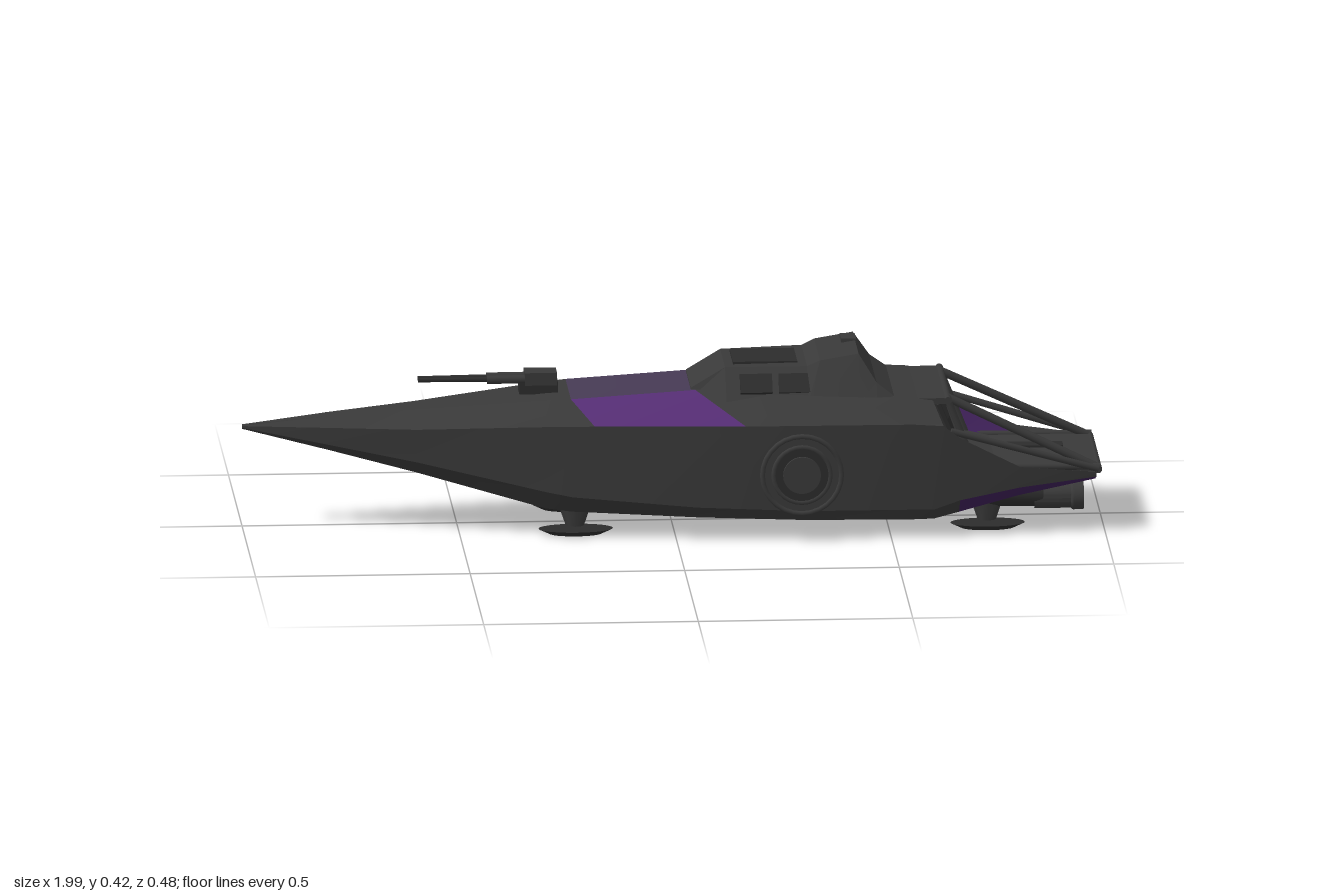
import * as THREE from 'three';
import { toCreasedNormals } from 'three/addons/utils/BufferGeometryUtils.js';

const mat = (name, color) => {
  const m = new THREE.MeshStandardMaterial({ color });
  m.name = name;
  return m;
};

// Skin a list of equal-length closed rings of [x, y, z]; paint(i, j) picks a material index
function loft(rings, paint = () => 0, crease = 0.4) {
  const pos = [], geo = new THREE.BufferGeometry(), n = rings[0].length;
  const face = (m, ...pts) => {
    geo.addGroup(pos.length / 3, pts.length, m);
    pts.forEach(p => pos.push(...p));
  };
  for (let i = 0; i < rings.length - 1; i++) {
    for (let j = 0; j < n; j++) {
      const k = (j + 1) % n, a = rings[i], b = rings[i + 1];
      face(paint(i, j), a[j], a[k], b[j], b[j], a[k], b[k]);
    }
  }
  const first = rings[0], last = rings[rings.length - 1];
  for (let j = 1; j < n - 1; j++) {
    face(0, last[0], last[j], last[j + 1]);
    face(0, first[0], first[j + 1], first[j]);
  }
  geo.setAttribute('position', new THREE.Float32BufferAttribute(pos, 3));
  return toCreasedNormals(geo, crease);
}

// Close a half outline (top to bottom, +z side) by mirroring it
const mirrorRing = half => [...half, ...half.slice().reverse().map(([x, y, z]) => [x, y, -z])];

export function createModel() {
  const model = new THREE.Group();
  const hullGrey = mat('hull grey', 0x393939);
  const darkGrey = mat('dark grey', 0x2c2c2c);
  const purple = mat('purple', 0x552d74);
  const dullPurple = mat('dull purple', 0x463a54);
  const deepPurple = mat('deep purple', 0x3e2058);

  const add = (name, geo, m, x = 0, y = 0, z = 0) => {
    const mesh = new THREE.Mesh(geo, m);
    mesh.name = name;
    mesh.position.set(x, y, z);
    model.add(mesh);
    return mesh;
  };
  const box = (name, m, w, h, d, x, y, z) => add(name, new THREE.BoxGeometry(w, h, d), m, x, y, z);
  const rod = (name, m, a, b, r, r2 = r, sides = 10) => {
    const p = new THREE.Vector3(...a), q = new THREE.Vector3(...b), dir = q.clone().sub(p);
    const mesh = add(name, new THREE.CylinderGeometry(r2, r, dir.length(), sides), m);
    mesh.position.copy(p).add(q).multiplyScalar(0.5);
    mesh.quaternion.setFromUnitVectors(new THREE.Vector3(0, 1, 0), dir.normalize());
    return mesh;
  };

  // Hull stations: x, top y, top half width, shoulder y, w, side y, w, bottom y, w, shoulder x shift
  const stations = [
    [-1, 0.243, 0.002, 0.24, 0.004, 0.236, 0.004, 0.233, 0.002, 0],
    [-0.8, 0.265, 0.02, 0.245, 0.055, 0.203, 0.05, 0.184, 0.02, 0],
    [-0.6, 0.283, 0.04, 0.25, 0.107, 0.17, 0.097, 0.134, 0.045, 0],
    [-0.3, 0.312, 0.09, 0.268, 0.173, 0.11, 0.165, 0.056, 0.1, 0],
    [-0.24, 0.316, 0.1, 0.272, 0.192, 0.1, 0.178, 0.05, 0.112, 0.05],
    [0.05, 0.334, 0.1, 0.276, 0.23, 0.08, 0.215, 0.046, 0.17, 0.11],
    [0.3, 0.33, 0.165, 0.277, 0.236, 0.07, 0.224, 0.043, 0.2, 0],
    [0.55, 0.322, 0.162, 0.277, 0.239, 0.07, 0.225, 0.042, 0.205, 0],
    [0.6, 0.315, 0.16, 0.272, 0.238, 0.07, 0.225, 0.042, 0.2, 0.02],
    [0.66, 0.175, 0.15, 0.24, 0.23, 0.09, 0.222, 0.05, 0.17, 0],
    [0.8, 0.142, 0.155, 0.165, 0.212, 0.115, 0.208, 0.08, 0.14, 0],
    [0.98, 0.138, 0.158, 0.145, 0.188, 0.133, 0.186, 0.115, 0.13, 0],
  ];
  const hullRings = stations.map(([x, ty, tw, sy, sw, ly, lw, by, bw, dx]) =>
    mirrorRing([[x, ty, tw], [x + dx, sy, sw], [x, ly, lw], [x, by, bw]]));
  const hullPaint = (i, j) => {
    const slope = j === 0 || j === 6;
    if (i === 4) return slope ? 1 : j === 7 ? 2 : 0;
    if (i >= 9 && (j === 2 || j === 4)) return 3;
    return i === 9 && slope ? 3 : 0;
  };
  add('hull', loft(hullRings, hullPaint), [hullGrey, purple, dullPurple, deepPurple]);

  // Cabin: x, roof y, roof half width, base half width
  const cabinRings = [
    [0.04, 0.337, 0.09, 0.1], [0.12, 0.385, 0.09, 0.15], [0.31, 0.388, 0.105, 0.165],
    [0.34, 0.402, 0.108, 0.168], [0.43, 0.417, 0.108, 0.17], [0.47, 0.355, 0.14, 0.17],
    [0.51, 0.325, 0.15, 0.17],
  ].map(([x, y, t, b]) => mirrorRing([[x, y, t], [x, 0.315, b]]));
  add('cabin', loft(cabinRings, undefined, 0.2), [hullGrey]);
  box('roofPanel', darkGrey, 0.15, 0.006, 0.13, 0.215, 0.388, 0);
  box('roofHatch', hullGrey, 0.035, 0.015, 0.055, 0.415, 0.414, -0.05);
  for (const s of [1, -1]) {
    for (const x of [0.19, 0.28]) {
      const w = box('cabinWindow', darkGrey, 0.075, 0.05, 0.008, x, 0.353, s * 0.13);
      w.rotation.x = -s * 0.72;
    }
  }

  // Side wheel drum with raised rings
  const drum = (name, m, r, z0, z1) => rod(name, m, [0.29, 0.16, z0], [0.29, 0.16, z1], r, r * 0.95, 28);
  drum('wheelDrum', hullGrey, 0.1, 0.2, 0.238);
  drum('wheelDisc', darkGrey, 0.068, 0.23, 0.241);
  drum('wheelHub', hullGrey, 0.046, 0.23, 0.245);
  for (const r of [0.092, 0.066]) {
    add('wheelRim', new THREE.TorusGeometry(r, 0.006, 8, 28), hullGrey, 0.29, 0.16, 0.237);
  }

  // Nose gun with twin barrels
  box('gunMount', darkGrey, 0.09, 0.03, 0.045, -0.31, 0.325, 0);
  box('gunBody', hullGrey, 0.075, 0.03, 0.055, -0.305, 0.347, 0);
  for (const s of [1, -1]) {
    rod('gunBarrel', darkGrey, [-0.3, 0.345, s * 0.016], [-0.59, 0.345, s * 0.009], 0.007, 0.005);
    rod('gunSleeve', hullGrey, [-0.33, 0.345, s * 0.016], [-0.43, 0.345, s * 0.014], 0.01);
  }

  // Open rear deck
  box('deck', hullGrey, 0.33, 0.014, 0.32, 0.82, 0.147, -0.003);
  box('deckPlate', darkGrey, 0.13, 0.009, 0.04, 0.85, 0.155, -0.04);
  rod('deckRearBar', hullGrey, [0.985, 0.146, -0.17], [0.985, 0.146, 0.17], 0.009);

  // Machinery in the recess behind the cabin
  rod('machineryDrum', darkGrey, [0.61, 0.27, -0.085], [0.61, 0.27, 0.085], 0.035, 0.035, 16);
  const panel = box('rearPanel', darkGrey, 0.009, 0.15, 0.23, 0.645, 0.225, 0);
  panel.rotation.z = 0.4;
  rod('frameTopBar', hullGrey, [0.635, 0.315, -0.165], [0.635, 0.315, 0.165], 0.009);
  box('frameBase', hullGrey, 0.1, 0.014, 0.32, 0.585, 0.313, 0);

  for (const s of [1, -1]) {
    // Rear frame struts
    rod('longStrut', hullGrey, [0.635, 0.315, s * 0.13], [0.98, 0.15, s * 0.157], 0.01);
    rod('lowerStrut', hullGrey, [0.64, 0.25, s * 0.2], [0.985, 0.148, s * 0.17], 0.008);
    rod('uprightStrut', hullGrey, [0.635, 0.315, s * 0.155], [0.7, 0.15, s * 0.155], 0.008);
    rod('braceStrut', hullGrey, [0.64, 0.29, s * 0.08], [0.69, 0.15, s * 0.11], 0.007);
    rod('deckRail', hullGrey, [0.66, 0.155, s * 0.158], [0.99, 0.152, s * 0.163], 0.008);

    // Engines
    const z = -0.007 + s * 0.093;
    rod('engineHousing', darkGrey, [0.66, 0.08, z], [0.86, 0.07, z], 0.035, 0.03, 16);
    const profile = [[0, 0.05], [0.026, 0.05], [0.026, 0.115], [0.033, 0.115], [0.033, 0.09], [0.029, 0.085], [0.029, 0]];
    const nozzle = add('engineNozzle',
      toCreasedNormals(new THREE.LatheGeometry(profile.map(p => new THREE.Vector2(...p)).reverse(), 20), 0.5),
      hullGrey, 0.84, 0.065, z);
    nozzle.rotation.z = -Math.PI / 2;
    rod('smallThruster', hullGrey, [0.9, 0.12, -0.015 + s * 0.05], [0.965, 0.12, -0.015 + s * 0.05], 0.013);

    // Landing feet
    for (const x of [-0.23, 0.73]) {
      const leg = rod('landingLeg', hullGrey, [x, 0.006, s * 0.09], [x, 0.07, s * 0.08], 0.016, 0.035, 8);
      leg.scale.x = 1.2;
      const pad = add('landingPad', new THREE.CylinderGeometry(1, 0.7, 0.012, 24), darkGrey, x, 0.006, s * 0.12);
      pad.scale.set(0.087, 1, 0.045);
    }
  }
  return model;
}
